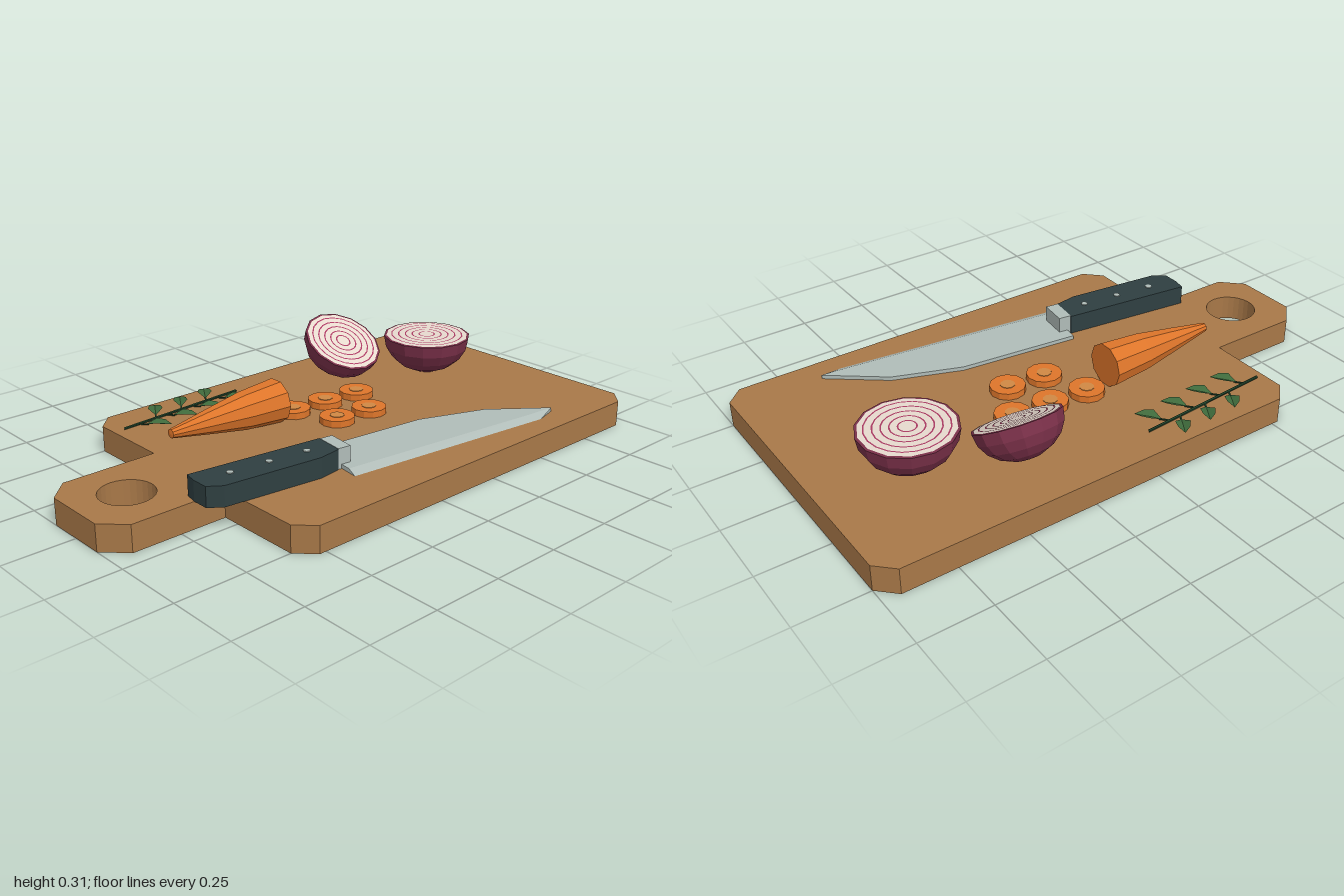
import * as THREE from 'three';
import { ConvexGeometry } from 'three/addons/geometries/ConvexGeometry.js';

const TOP = 0.093; // height of the board surface

function material(name, color, extra = {}) {
  const m = new THREE.MeshStandardMaterial({ color, flatShading: true, ...extra });
  m.name = name;
  return m;
}

export function createModel() {
  const mats = {
    wood: material('wood', 0xa87848),
    steel: material('steel', 0xb0bcb8),
    grip: material('dark grip', 0x2f3f41),
    skin: material('onion skin', 0x7a3049),
    flesh: material('onion flesh', 0xe6d9cd),
    ring: material('onion ring', 0xa83a62),
    carrot: material('carrot', 0xdd752a),
    core: material('carrot core', 0xd08844),
    leaf: material('leaf', 0x3f6b3c, { side: THREE.DoubleSide }),
    stem: material('stem', 0x23452b),
  };
  const model = new THREE.Group();
  model.name = 'cuttingBoardScene';

  function add(parent, name, geometry, mat, x = 0, y = 0, z = 0) {
    const mesh = new THREE.Mesh(geometry, mat);
    mesh.name = name;
    mesh.position.set(x, y, z);
    parent.add(mesh);
    return mesh;
  }
  function group(name, x = 0, y = 0, z = 0) {
    const g = new THREE.Group();
    g.name = name;
    g.position.set(x, y, z);
    model.add(g);
    return g;
  }
  // Upright slab from an outline of [x, z] points
  function slab(points, height, hole) {
    const shape = new THREE.Shape(points.map(([x, z]) => new THREE.Vector2(x, -z)));
    if (hole) shape.holes.push(hole);
    return new THREE.ExtrudeGeometry(shape, { depth: height, bevelEnabled: false, curveSegments: 14 })
      .rotateX(-Math.PI / 2);
  }

  // Board with clipped corners, handle tab and hanging hole
  const half = [[-1, 0.115], [-0.925, 0.19], [-0.585, 0.19], [-0.585, 0.5], [-0.525, 0.56], [0.94, 0.56], [1, 0.5]];
  const outline = [...half, ...half.map(([x, z]) => [x, -z]).reverse()];
  const hole = new THREE.Path().absarc(-0.815, 0, 0.092, 0, Math.PI * 2, true);
  add(model, 'board', slab(outline, TOP, hole), mats.wood);

  // Knife: grip, pins, bolster and a blade with a bevelled edge
  const knife = group('knife');
  const grip = [[-0.69, 0.145], [-0.208, 0.205], [-0.222, 0.312], [-0.305, 0.324], [-0.655, 0.283], [-0.7, 0.25], [-0.7, 0.19]];
  add(knife, 'grip', slab(grip, 0.071), mats.grip, 0, TOP, 0);
  for (const [x, z] of [[-0.585, 0.22], [-0.445, 0.237], [-0.305, 0.254]]) {
    add(knife, 'pin', new THREE.CylinderGeometry(0.012, 0.012, 0.006, 8), mats.steel, x, 0.164, z);
  }
  const bolster = [[-0.21, 0.21], [-0.163, 0.216], [-0.175, 0.317], [-0.222, 0.311]];
  add(knife, 'bolster', slab(bolster, 0.072), mats.steel, 0, TOP, 0);
  const spine = [[-0.19, 0.165], [0.25, 0.215], [0.49, 0.305], [0.68, 0.455]];
  const bladePoints = [];
  for (const [x, z] of [...spine, [0.58, 0.447], [-0.215, 0.352]]) bladePoints.push(new THREE.Vector3(x, 0.108, z));
  for (const [x, z] of [...spine, [0.595, 0.478], [-0.22, 0.385]]) bladePoints.push(new THREE.Vector3(x, 0.094, z));
  add(knife, 'blade', new ConvexGeometry(bladePoints), mats.steel);

  // Carrot lying along x
  const carrotProfile = [[0, -0.55], [0.016, -0.548], [0.042, -0.4], [0.067, -0.25], [0.079, -0.1], [0, -0.1]]
    .map(([r, x]) => new THREE.Vector2(r, x));
  add(model, 'carrot', new THREE.LatheGeometry(carrotProfile, 10).rotateZ(-Math.PI / 2), mats.carrot, 0, 0.168, -0.14);

  // Carrot slices with a paler core
  for (const [x, z] of [[-0.015, -0.15], [0.13, -0.14], [0.275, -0.13], [0.05, 0.01], [0.195, 0.02]]) {
    const slice = group('carrotSlice', x, TOP, z);
    add(slice, 'sliceBody', new THREE.CylinderGeometry(0.063, 0.063, 0.024, 12), mats.carrot, 0, 0.012, 0);
    add(slice, 'sliceCore', new THREE.CylinderGeometry(0.026, 0.026, 0.004, 10), mats.core, 0, 0.024, 0);
  }

  // Onion half: bowl of skin, flesh disc and thin rings
  function onionHalf(x, y, z, r, tilt) {
    const onion = group('onionHalf', x, y, z);
    onion.rotation.x = tilt;
    const profile = [];
    for (let i = 0; i <= 5; i++) {
      const a = (1 - i / 5) * Math.PI / 2;
      profile.push(new THREE.Vector2(r * Math.cos(a), -0.86 * r * Math.sin(a)));
    }
    profile[0].x = 0;
    profile.push(new THREE.Vector2(0, 0));
    const sides = 14;
    add(onion, 'skin', new THREE.LatheGeometry(profile, sides), mats.skin);
    add(onion, 'flesh', new THREE.CircleGeometry(r * 0.945, sides).rotateX(-Math.PI / 2).rotateY(Math.PI / 2),
      mats.flesh, 0, 0.0015, 0);
    for (const f of [0.18, 0.34, 0.5, 0.66, 0.82]) {
      add(onion, 'ring', new THREE.RingGeometry(r * f - 0.0025, r * f + 0.0025, 20).rotateX(-Math.PI / 2),
        mats.ring, 0, 0.003, 0);
    }
  }
  onionHalf(0.675, 0.235, -0.155, 0.166, 0);
  onionHalf(0.38, 0.235, -0.315, 0.151, Math.PI / 6);

  // Herb sprig: a stem with folded leaves on both sides
  const sprig = group('herbSprig');
  const start = new THREE.Vector3(-0.55, 0.099, -0.42);
  const end = new THREE.Vector3(-0.035, 0.099, -0.455);
  add(sprig, 'stem', new THREE.TubeGeometry(new THREE.LineCurve3(start, end), 1, 0.005, 6), mats.stem);

  // Each leaf half is a fan from the midrib up to a raised edge
  function leafGeometry(length, width) {
    const rib = [[0, 0], [0.35, 0.004], [0.7, 0.005], [1, 0.006]];
    const edge = [0, 0.95, 0.75, 0];
    const pos = [];
    const index = [];
    for (const side of [1, -1]) {
      const base = pos.length / 3;
      rib.forEach(([t, h], i) => {
        pos.push(t * length, h, 0, t * length, h + edge[i] * 0.012, side * edge[i] * width);
      });
      for (let i = 0; i < 3; i++) {
        const a = base + i * 2;
        const quad = side > 0 ? [a, a + 1, a + 2, a + 1, a + 3, a + 2] : [a, a + 2, a + 1, a + 1, a + 2, a + 3];
        index.push(...quad);
      }
    }
    const g = new THREE.BufferGeometry();
    g.setAttribute('position', new THREE.Float32BufferAttribute(pos, 3));
    g.setIndex(index);
    g.computeVertexNormals();
    return g;
  }
  function addLeaf(x, dx, dz) {
    const t = (x - start.x) / (end.x - start.x);
    const base = start.clone().lerp(end, t);
    const length = Math.hypot(dx, dz);
    const leaf = new THREE.Group();
    leaf.name = 'leafSprout';
    leaf.position.copy(base);
    leaf.rotation.y = Math.atan2(-dz, dx);
    sprig.add(leaf);
    add(leaf, 'leafStalk', new THREE.BoxGeometry(length * 0.3, 0.004, 0.005), mats.stem, length * 0.15, 0, 0);
    add(leaf, 'leaf', leafGeometry(length * 0.78, 0.027), mats.leaf, length * 0.22, 0, 0);
  }
  for (let i = 0; i < 4; i++) {
    addLeaf(-0.487 + i * 0.118, 0.077, 0.092);
    if (i < 3) addLeaf(-0.41 + i * 0.115, 0.058, -0.093);
  }

  return model;
}
